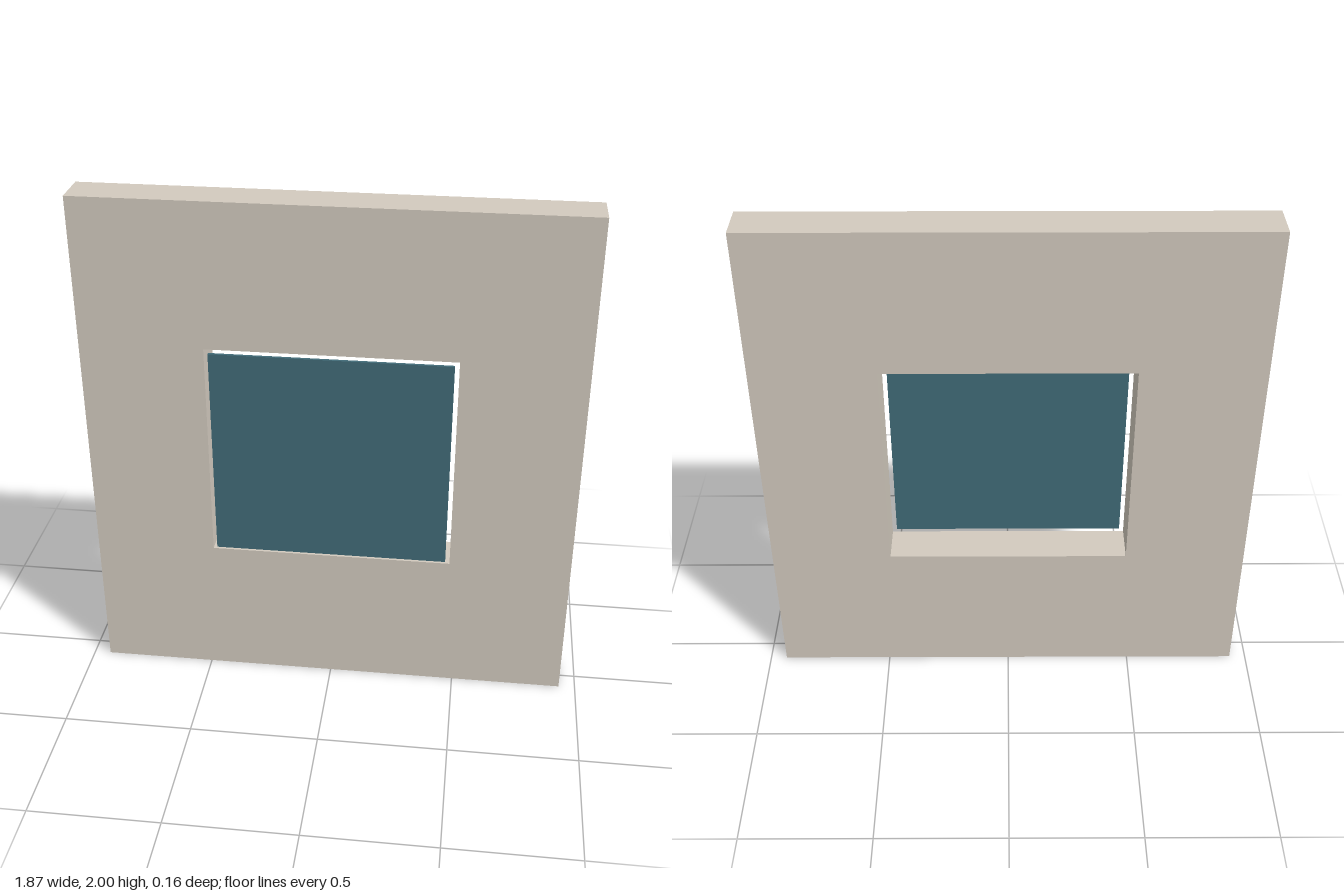
import * as THREE from 'three';

const WALL = { width: 1.87, height: 2, back: -0.082, front: 0.072 };
const OPENING = { width: 0.934, bottom: 0.567, top: 1.438 };
const PANE = { width: 0.9, bottom: 0.581, top: 1.424, thickness: 0.011, front: 0.082 };

// Corners of an upright rectangle centred on x = 0
function corners(width, bottom, top) {
  const h = width / 2;
  return [[-h, bottom], [h, bottom], [h, top], [-h, top]].map(([x, y]) => new THREE.Vector2(x, y));
}

export function createModel() {
  const model = new THREE.Group();
  model.name = 'wallWithWindow';

  // Wall slab with a square opening cut through it
  const outline = new THREE.Shape(corners(WALL.width, 0, WALL.height));
  outline.holes.push(new THREE.Path(corners(OPENING.width, OPENING.bottom, OPENING.top)));
  const wallGeometry = new THREE.ExtrudeGeometry(outline, {
    depth: WALL.front - WALL.back,
    bevelEnabled: false,
  });
  wallGeometry.translate(0, 0, WALL.back);
  const wall = new THREE.Mesh(wallGeometry, new THREE.MeshStandardMaterial({ color: 0xd2cabe }));
  wall.name = 'wall';
  model.add(wall);

  // Thin pane standing just proud of the opening, with a gap all round
  const pane = new THREE.Mesh(
    new THREE.BoxGeometry(PANE.width, PANE.top - PANE.bottom, PANE.thickness),
    new THREE.MeshStandardMaterial({ color: 0x416b78 })
  );
  pane.position.set(0, (PANE.top + PANE.bottom) / 2, PANE.front - PANE.thickness / 2);
  pane.name = 'windowPane';
  model.add(pane);

  return model;
}
